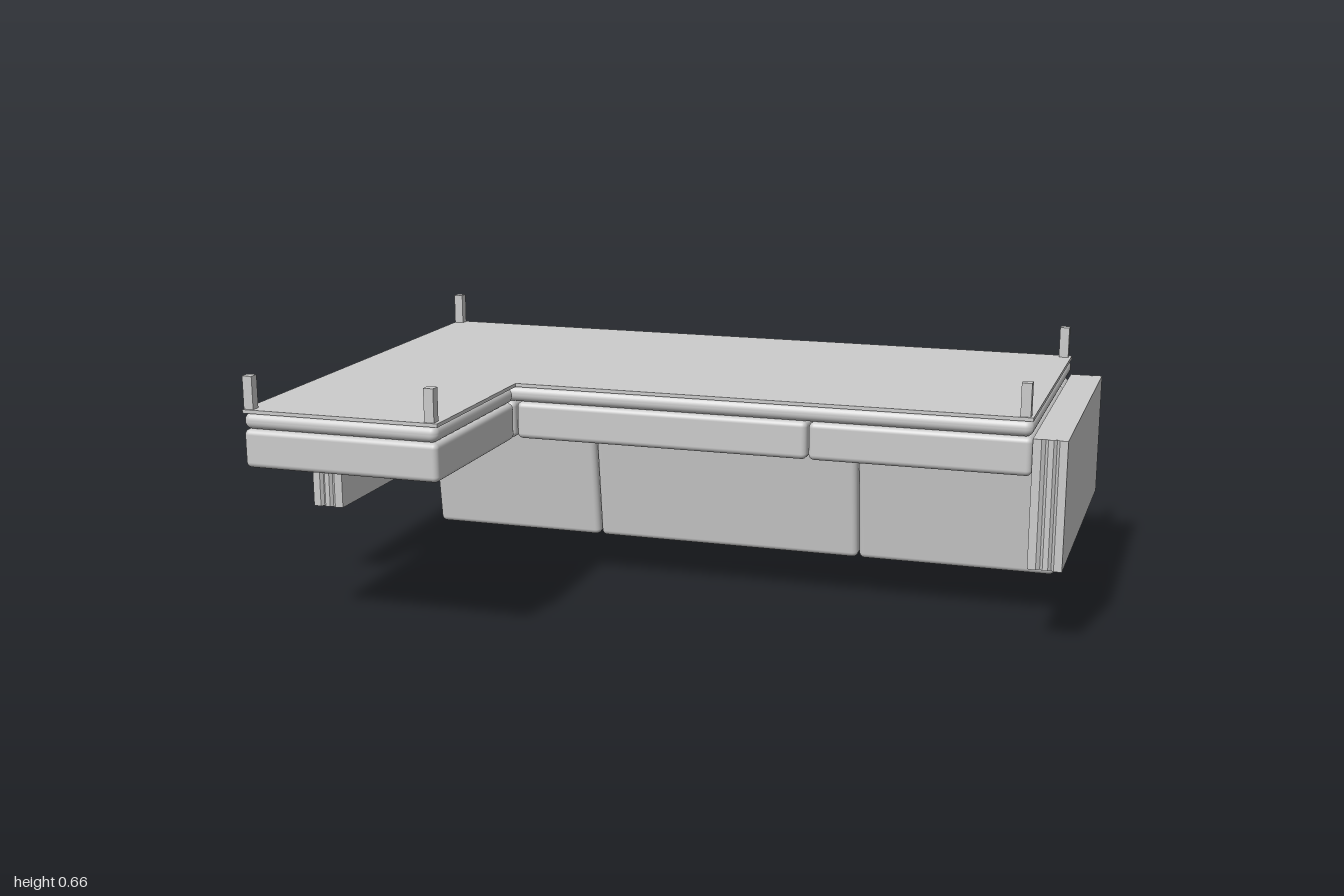
import * as THREE from 'three';
import { RoundedBoxGeometry } from 'three/addons/geometries/RoundedBoxGeometry.js';

const material = new THREE.MeshStandardMaterial({ color: 0xcccccc });

export function createModel() {
  const group = new THREE.Group();

  const add = (name, geometry) => {
    const mesh = new THREE.Mesh(geometry, material);
    mesh.name = name;
    group.add(mesh);
    return mesh;
  };

  // Softly rounded block given by its extents on each axis
  const block = (name, [x0, x1], [y0, y1], [z0, z1], radius) => {
    const mesh = add(name, new RoundedBoxGeometry(x1 - x0, y1 - y0, z1 - z0, 4, radius));
    mesh.position.set((x0 + x1) / 2, (y0 + y1) / 2, (z0 + z1) / 2);
    return mesh;
  };

  // Plan outline (x, z) extruded downwards from the height yTop
  const slab = (name, points, yTop, height) => {
    const shape = new THREE.Shape(points.map(([x, z]) => new THREE.Vector2(x, z)));
    const geometry = new THREE.ExtrudeGeometry(shape, { depth: height, bevelEnabled: false });
    geometry.rotateX(Math.PI / 2).translate(0, yTop, 0);
    return add(name, geometry);
  };

  // L-shaped base plate
  slab('basePlate', [
    [-0.918, -0.64], [0.916, -0.64], [0.916, 0.158], [-0.405, 0.158], [-0.405, 0.638], [-0.918, 0.638],
  ], 0.583, 0.009);

  // Rounded base frames, main seat and chaise
  block('mainFrame', [-0.918, 0.916], [0.534, 0.575], [-0.64, 0.16], 0.019);
  block('chaiseFrame', [-0.918, -0.407], [0.534, 0.575], [0.164, 0.64], 0.019);

  // Seat and back cushions in three bays
  const bays = [[-0.918, -0.408], [-0.404, 0.364], [0.368, 0.916]];
  for (const bay of bays) {
    block('seatCushion', bay, [0.438, 0.534], [-0.48, 0.16], 0.014);
    const back = block('backCushion', bay, [0.002, 0.432], [-0.519, -0.443], 0.016);
    back.rotation.x = 0.125;
  }
  block('chaiseCushion', [-0.918, -0.407], [0.438, 0.534], [0.164, 0.64], 0.014);

  // Backrest with upright rear and leaning inner face
  const backrest = block('backrest', [-0.918, 0.916], [0.014, 0.532], [-0.64, -0.555], 0.024);
  const position = backrest.geometry.attributes.position;
  for (let i = 0; i < position.count; i++) {
    const t = (position.getZ(i) + 0.0425) / 0.085;
    const rise = position.getY(i) + 0.259;
    position.setZ(i, position.getZ(i) + t * rise * 0.15);
  }

  // Armrests: three joined panels with grooves between them
  for (const side of [-1, 1]) {
    const front = [[0.916, 0.155], [0.937, 0.158], [0.946, 0.15], [0.953, 0.157], [0.966, 0.157],
      [0.973, 0.15], [0.98, 0.158], [1, 0.158]];
    const rear = front.map(([x, z]) => [x, -0.482 - z]).reverse();
    const outline = [...front, ...rear].map(([x, z]) => [side * x, z]);
    slab(side > 0 ? 'leftArmrest' : 'rightArmrest', outline, 0.532, 0.324);
  }

  // Square legs
  const legs = [[-0.904, -0.624], [0.896, -0.624], [0.896, 0.14], [-0.904, 0.62], [-0.428, 0.62]];
  for (const [x, z] of legs) {
    add('leg', new THREE.BoxGeometry(0.025, 0.085, 0.025)).position.set(x, 0.6225, z);
  }

  return group;
}
